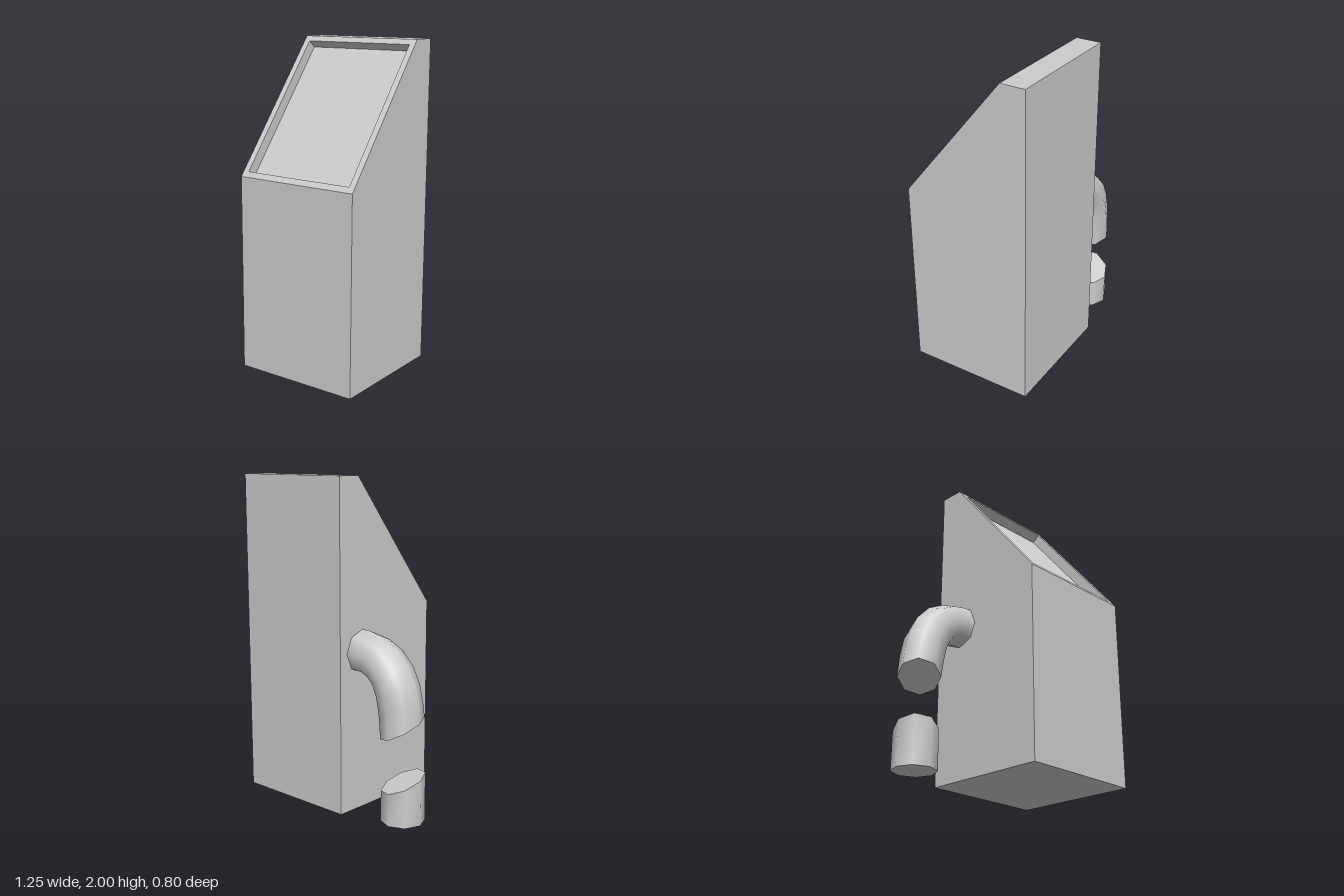
import * as THREE from 'three';

const material = new THREE.MeshStandardMaterial({ color: 0xcccccc });

// Flat-faced geometry from convex polygons (counter-clockwise from outside)
function polygons(faces) {
  const pos = [];
  for (const f of faces)
    for (let i = 1; i < f.length - 1; i++) pos.push(...f[0], ...f[i], ...f[i + 1]);
  const g = new THREE.BufferGeometry();
  g.setAttribute('position', new THREE.Float32BufferAttribute(pos, 3));
  g.computeVertexNormals();
  return g;
}

// Octagonal pipe: smooth sides through the rings, flat caps at both ends.
// Each ring is [outer x, outer y, inner x, inner y, rise towards the front].
function pipe(name, rings, z = -0.212, rz = 0.132, sides = 8) {
  const loops = rings.map(([ox, oy, ix, iy, rise = 0]) =>
    Array.from({ length: sides }, (_, k) => {
      const a = (k / sides) * Math.PI * 2, c = Math.cos(a) / 2, s = Math.sin(a);
      return [(ox + ix) / 2 + c * (ox - ix), (oy + iy) / 2 + c * (oy - iy) + s * rise, z + s * rz];
    }));
  const index = [];
  for (let i = 0; i < loops.length - 1; i++)
    for (let k = 0; k < sides; k++) {
      const a = i * sides + k, b = i * sides + (k + 1) % sides;
      index.push(a, b, b + sides, a, b + sides, a + sides);
    }
  const wall = new THREE.BufferGeometry();
  wall.setAttribute('position', new THREE.Float32BufferAttribute(loops.flat(2), 3));
  wall.setIndex(index);
  wall.computeVertexNormals();

  const group = new THREE.Group();
  group.name = name;
  const caps = polygons([[...loops[0]].reverse(), loops[loops.length - 1]]);
  for (const [part, g] of [['Wall', wall], ['Ends', caps]]) {
    const mesh = new THREE.Mesh(g, material);
    mesh.name = name + part;
    group.add(mesh);
  }
  return group;
}

export function createModel() {
  const model = new THREE.Group();
  const L = -0.173, R = 0.625;

  // Side profile as [y, z]
  const profile = [[0, 0.4], [0, -0.4], [2, -0.4], [2, -0.245], [1.2, 0.4]];
  const side = (x) => profile.map(([y, z]) => [x, y, z]);
  const left = side(R), right = side(L);

  // Corners on the sloping face: s runs up the slope, d goes into the body
  const slope = (x, s, d) => [x, 1.2 + 0.8 * s - 0.628 * d, 0.4 - 0.645 * s - 0.778 * d];
  const rect = (x0, x1, s0, s1, d) =>
    [[x0, s0], [x1, s0], [x1, s1], [x0, s1]].map(([x, s]) => slope(x, s, d));
  const outer = rect(L, R, 0, 1, 0);
  const rim = rect(-0.135, 0.587, 0.0375, 0.9625, 0);
  const floor = rect(-0.135, 0.587, 0.0375, 0.9625, 0.064);

  // Cabinet: two sides, four straight faces, sloping rim and recess walls
  const faces = [left, [...right].reverse()];
  for (let i = 0; i < 5; i++) {
    const j = (i + 1) % 5;
    if (i !== 3) faces.push([right[i], right[j], left[j], left[i]]);
  }
  for (let i = 0; i < 4; i++) {
    const j = (i + 1) % 4;
    faces.push([outer[i], outer[j], rim[j], rim[i]], [rim[i], rim[j], floor[j], floor[i]]);
  }
  const cabinet = new THREE.Mesh(polygons(faces), material);
  cabinet.name = 'cabinet';

  // Sunken panel
  const panel = new THREE.Mesh(polygons([floor]), material);
  panel.name = 'recessedPanel';

  // Curved pipe leaving the cabinet, listed from its slanted mouth upwards
  const elbow = pipe('elbowPipe', [
    [-0.612, 0.61, -0.362, 0.517, 0.045],
    [-0.603, 0.71, -0.346, 0.65],
    [-0.575, 0.83, -0.328, 0.735],
    [-0.52, 0.935, -0.305, 0.79],
    [-0.43, 1.03, -0.275, 0.823],
    [-0.32, 1.085, -0.24, 0.839],
    [-0.23, 1.105, -0.2, 0.843],
    [-0.165, 1.106, -0.165, 0.844],
  ]);

  // Broken-off stub standing on the ground
  const stub = pipe('pipeStub', [
    [-0.627, 0, -0.363, 0],
    [-0.625, 0.273, -0.367, 0.208, 0.044],
  ]);

  model.add(cabinet, panel, elbow, stub);
  return model;
}
